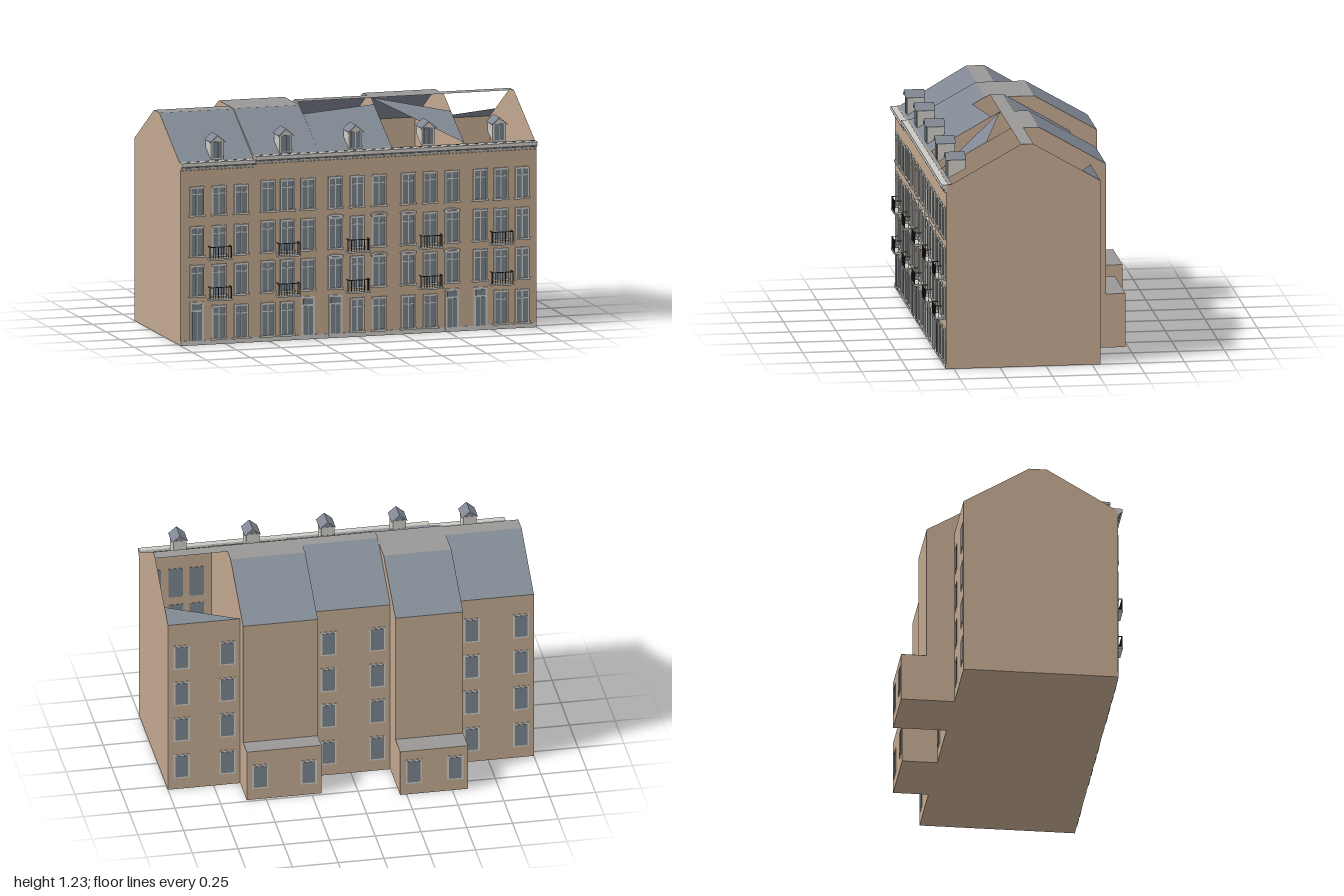
import * as THREE from 'three';

const material = (name, color, side = THREE.FrontSide) => {
  const m = new THREE.MeshStandardMaterial({ color, side });
  m.name = name;
  return m;
};
const wall = material('sandstone wall', 0xc2a88f, THREE.DoubleSide);
const slate = material('slate roof', 0x808893, THREE.DoubleSide);
const lead = material('flat roof lead', 0x999896, THREE.DoubleSide);
const trim = material('pale trim', 0xcbc9c3);
const glass = material('window glass', 0x78828a);
const iron = material('railing iron', 0x3b3e42);

const unitBox = new THREE.BoxGeometry(1, 1, 1);
const FRONT = 0.54;

// Box given by its minimum and maximum on each axis
function box(parent, name, mat, x0, x1, y0, y1, z0, z1) {
  const m = new THREE.Mesh(unitBox, mat);
  m.name = name;
  m.scale.set(x1 - x0, y1 - y0, z1 - z0);
  m.position.set((x0 + x1) / 2, (y0 + y1) / 2, (z0 + z1) / 2);
  parent.add(m);
  return m;
}

// Flat convex polygon, corners counter-clockwise from outside
function face(parent, name, mat, pts) {
  const g = new THREE.BufferGeometry();
  const v = [];
  for (let i = 1; i < pts.length - 1; i++) v.push(...pts[0], ...pts[i], ...pts[i + 1]);
  g.setAttribute('position', new THREE.Float32BufferAttribute(v, 3));
  g.computeVertexNormals();
  const m = new THREE.Mesh(g, mat);
  m.name = name;
  parent.add(m);
}

// Profile of [z, y] points extruded along x
function extrudeX(parent, name, mat, profile, x0, x1) {
  const s = new THREE.Shape(profile.map(([z, y]) => new THREE.Vector2(-z, y)));
  const g = new THREE.ExtrudeGeometry(s, { depth: x1 - x0, bevelEnabled: false });
  g.rotateY(Math.PI / 2).translate(x0, 0, 0);
  const m = new THREE.Mesh(g, mat);
  m.name = name;
  parent.add(m);
}

function group(parent, name) {
  const g = new THREE.Group();
  g.name = name;
  parent.add(g);
  return g;
}

// Front window: glass, surround, mullion, transom and sill
function frontWindow(parent, x, y0, y1) {
  const g = group(parent, 'frontWindow');
  const w = 0.04, z = FRONT, t = y1 - (y1 - y0) * 0.26;
  box(g, 'pane', glass, x - w, x + w, y0, y1, z - 0.002, z + 0.002);
  for (const s of [-1, 1]) {
    const a = x + s * w, b = x + s * (w - 0.008);
    box(g, 'jamb', trim, Math.min(a, b), Math.max(a, b), y0, y1, z, z + 0.008);
  }
  box(g, 'lintel', trim, x - w, x + w, y1 - 0.011, y1, z, z + 0.009);
  box(g, 'sill', trim, x - w - 0.005, x + w + 0.005, y0 - 0.002, y0 + 0.009, z, z + 0.012);
  box(g, 'mullion', trim, x - 0.003, x + 0.003, y0, y1, z, z + 0.004);
  box(g, 'transom', trim, x - w, x + w, t - 0.003, t + 0.003, z, z + 0.005);
}

// Shallow arched hood over a window
function archedHood(parent, x, y) {
  const s = new THREE.Shape();
  s.moveTo(-0.046, -0.004);
  s.lineTo(-0.046, 0.006);
  s.quadraticCurveTo(0, 0.026, 0.046, 0.006);
  s.lineTo(0.046, -0.004);
  s.quadraticCurveTo(0, 0.012, -0.046, -0.004);
  const m = new THREE.Mesh(new THREE.ExtrudeGeometry(s, { depth: 0.012, bevelEnabled: false, curveSegments: 6 }), trim);
  m.name = 'archedHood';
  m.position.set(x, y, FRONT);
  parent.add(m);
}

// Street door with fanlight and two glazed panels
function frontDoor(parent, x) {
  const g = group(parent, 'frontDoor');
  const z = FRONT, w = 0.039;
  box(g, 'doorSurround', trim, x - w, x + w, 0.01, 0.235, z, z + 0.007);
  box(g, 'fanlight', glass, x - 0.028, x + 0.028, 0.192, 0.223, z, z + 0.009);
  for (const s of [-1, 1]) {
    const c = x + s * 0.0145;
    box(g, 'doorPanel', glass, c - 0.0125, c + 0.0125, 0.025, 0.182, z, z + 0.009);
  }
}

function balcony(parent, x, y) {
  const g = group(parent, 'balcony');
  const z1 = 0.582, w = 0.06;
  box(g, 'slab', trim, x - 0.064, x + 0.064, y, y + 0.009, FRONT, 0.585);
  box(g, 'topRail', iron, x - w, x + w, y + 0.07, y + 0.074, z1 - 0.004, z1);
  for (let i = 0; i <= 8; i++) {
    const c = x - w + 0.0015 + (i * (2 * w - 0.003)) / 8;
    box(g, 'baluster', iron, c - 0.0013, c + 0.0013, y + 0.009, y + 0.07, z1 - 0.003, z1 - 0.0005);
  }
  for (const s of [-1, 1]) {
    const c = x + s * (w - 0.002);
    box(g, 'sideRail', iron, c - 0.002, c + 0.002, y + 0.07, y + 0.074, FRONT, z1);
    box(g, 'sideBaluster', iron, c - 0.0013, c + 0.0013, y + 0.009, y + 0.07, 0.56, 0.5625);
  }
}

// Dormer sitting on the front slope
function dormer(parent, x, e) {
  const g = group(parent, 'dormer');
  const top = e + 0.107, peak = e + 0.138, w = 0.036;
  extrudeX(g, 'dormerBody', trim, [[0.51, e], [0.51, top], [0.415, top], [0.415, e + 0.05]], x - w, x + w);
  face(g, 'pediment', trim, [[x - w, top, 0.512], [x + w, top, 0.512], [x, peak - 0.004, 0.512]]);
  face(g, 'dormerBack', slate, [[x + w, top, 0.417], [x - w, top, 0.417], [x, peak - 0.004, 0.417]]);
  for (const s of [-1, 1]) {
    const c = x + s * 0.0145;
    box(g, 'dormerPane', glass, c - 0.012, c + 0.012, e + 0.012, top - 0.006, 0.508, 0.514);
    const p = [[x, peak, 0.522], [x + s * 0.044, top - 0.006, 0.522], [x + s * 0.044, top - 0.006, 0.413], [x, peak, 0.413]];
    face(g, 'dormerRoof', slate, s > 0 ? p : p.reverse());
    const c2 = [[x, peak, 0.522], [x, peak - 0.008, 0.522], [x + s * 0.044, top - 0.012, 0.522], [x + s * 0.044, top - 0.006, 0.522]];
    face(g, 'bargeboard', trim, s > 0 ? c2 : c2.reverse());
  }
}

// Back window: pane in a thin surround
function backWindow(parent, x, y, z) {
  const g = group(parent, 'backWindow');
  box(g, 'surround', trim, x - 0.044, x + 0.044, y - 0.073, y + 0.073, z - 0.003, z);
  box(g, 'pane', glass, x - 0.035, x + 0.035, y - 0.064, y + 0.064, z - 0.005, z);
}

// x range, back wall, ridge band, eave and ridge heights, window columns, door column, annex
const houses = [
  { x0: -1, x1: -0.585, back: -0.295, r0: 0.06, r1: 0.155, eave: 0.995, ridge: 1.207, cols: [-0.91, -0.785, -0.66], door: 0 },
  { x0: -0.585, x1: -0.215, back: -0.445, r0: -0.105, r1: 0.16, eave: 1.012, ridge: 1.21, cols: [-0.51, -0.4, -0.285], door: 2, annex: [-0.583, 0.265] },
  { x0: -0.215, x1: 0.197, back: -0.295, r0: 0.065, r1: 0.137, eave: 1.012, ridge: 1.225, cols: [-0.13, -0.008, 0.115], door: 0, arched: true,
    front: [[-0.215, 0.52], [0.197, 0.52], [0.197, 0.187], [-0.215, 0.23]] },
  { x0: 0.197, x1: 0.605, back: -0.38, r0: -0.017, r1: 0.137, eave: 1.012, ridge: 1.225, cols: [0.28, 0.402, 0.525], door: 2, arched: true, annex: [-0.485, 0.295],
    front: [[0.197, 0.137], [0.605, 0.505], [0.605, 0.268]] },
  { x0: 0.605, x1: 1, back: -0.295, r0: 0.068, r1: 0.137, eave: 1.012, ridge: 1.225, cols: [0.685, 0.8, 0.92], door: 0,
    front: [], rear: [[1, -0.295], [0.605, -0.295], [1, -0.197]] },
];

function house(parent, h) {
  const g = group(parent, 'house');
  const { x0, x1, back, r0, r1, eave: e, ridge } = h;

  // Walls with gabled sides
  const profile = [[back, 0], [FRONT, 0], [FRONT, e], [0.52, e], [r1, ridge], [r0, ridge], [back, e]];
  face(g, 'leftGable', wall, profile.map(([z, y]) => [x1, y, z]).reverse());
  face(g, 'rightGable', wall, profile.map(([z, y]) => [x0, y, z]));
  face(g, 'frontWall', wall, [[x0, 0, FRONT], [x1, 0, FRONT], [x1, e, FRONT], [x0, e, FRONT]]);
  face(g, 'backWall', wall, [[x1, 0, back], [x0, 0, back], [x0, e, back], [x1, e, back]]);
  face(g, 'floor', wall, [[x0, 0, back], [x1, 0, back], [x1, 0, FRONT], [x0, 0, FRONT]]);

  // Roof slopes, some partly open, and the flat ridge
  const lift = (z) => (z > r1 ? e + ((ridge - e) * (0.52 - z)) / (0.52 - r1) : e + ((ridge - e) * (z - back)) / (r0 - back));
  const front = h.front || [[x0, 0.52], [x1, 0.52], [x1, r1], [x0, r1]];
  const rear = h.rear || [[x1, back], [x0, back], [x0, r0], [x1, r0]];
  const onSlope = ([x, z]) => [x, z === r1 ? ridge : lift(z), z];
  if (front.length) face(g, 'frontSlope', slate, front.map(onSlope));
  face(g, 'rearSlope', slate, rear.map(onSlope));
  face(g, 'flatRidge', lead, [[x0, ridge, r1], [x1, ridge, r1], [x1, ridge, r0], [x0, ridge, r0]]);

  // Cornice, gutter, dentils and plinth
  extrudeX(g, 'cornice', trim, [[0.53, e - 0.036], [0.546, e - 0.036], [0.55, e - 0.024], [0.565, e - 0.018], [0.565, e + 0.002], [0.53, e + 0.002]], x0, x1);
  box(g, 'gutter', lead, x0, x1, e - 0.008, e + 0.003, 0.507, 0.531);
  box(g, 'corniceShadowBand', lead, x0, x1, e - 0.026, e - 0.02, 0.54, 0.556);
  const n = Math.round((x1 - x0) / 0.022);
  for (let i = 0; i < n; i++) {
    const c = x0 + ((i + 0.5) * (x1 - x0)) / n;
    box(g, 'dentil', trim, c - 0.004, c + 0.004, e - 0.042, e - 0.03, FRONT, 0.552);
  }
  box(g, 'plinth', trim, x0, x1, 0, 0.025, FRONT, 0.544);

  // Street front openings
  const low = x0 === -1;
  const rows = low ? [[0.025, 0.213], [0.262, 0.438], [0.48, 0.648], [0.702, 0.865]] : [[0.025, 0.213], [0.265, 0.442], [0.483, 0.66], [0.705, 0.88]];
  h.cols.forEach((x, c) => rows.forEach(([a, b], r) => {
    if (r === 0 && c === h.door) frontDoor(g, x);
    else frontWindow(g, x, a, b);
    if (h.arched && c !== 1 && (r === 1 || r === 2)) archedHood(g, x, b);
  }));
  balcony(g, h.cols[1], 0.243);
  balcony(g, h.cols[1], 0.463);
  dormer(g, h.cols[1], low ? 0.997 : 1.012);

  // Rear annex, or rows of back windows
  const backCols = [x0 + 0.07, x1 - 0.075];
  if (h.annex) {
    const [z, y] = h.annex;
    box(g, 'annex', wall, x0, x1, 0, y, z, back);
    face(g, 'annexRoof', lead, [[x0, y + 0.001, back], [x1, y + 0.001, back], [x1, y + 0.001, z], [x0, y + 0.001, z]].reverse());
    backCols.forEach((x) => backWindow(g, x, 0.138, z));
  } else {
    for (const x of backCols) for (const y of [0.138, 0.365, 0.585, 0.808]) backWindow(g, x, y, back);
  }
}

export function createModel() {
  const model = new THREE.Group();
  model.name = 'terraceOfHouses';
  houses.forEach((h) => house(model, h));
  return model;
}
